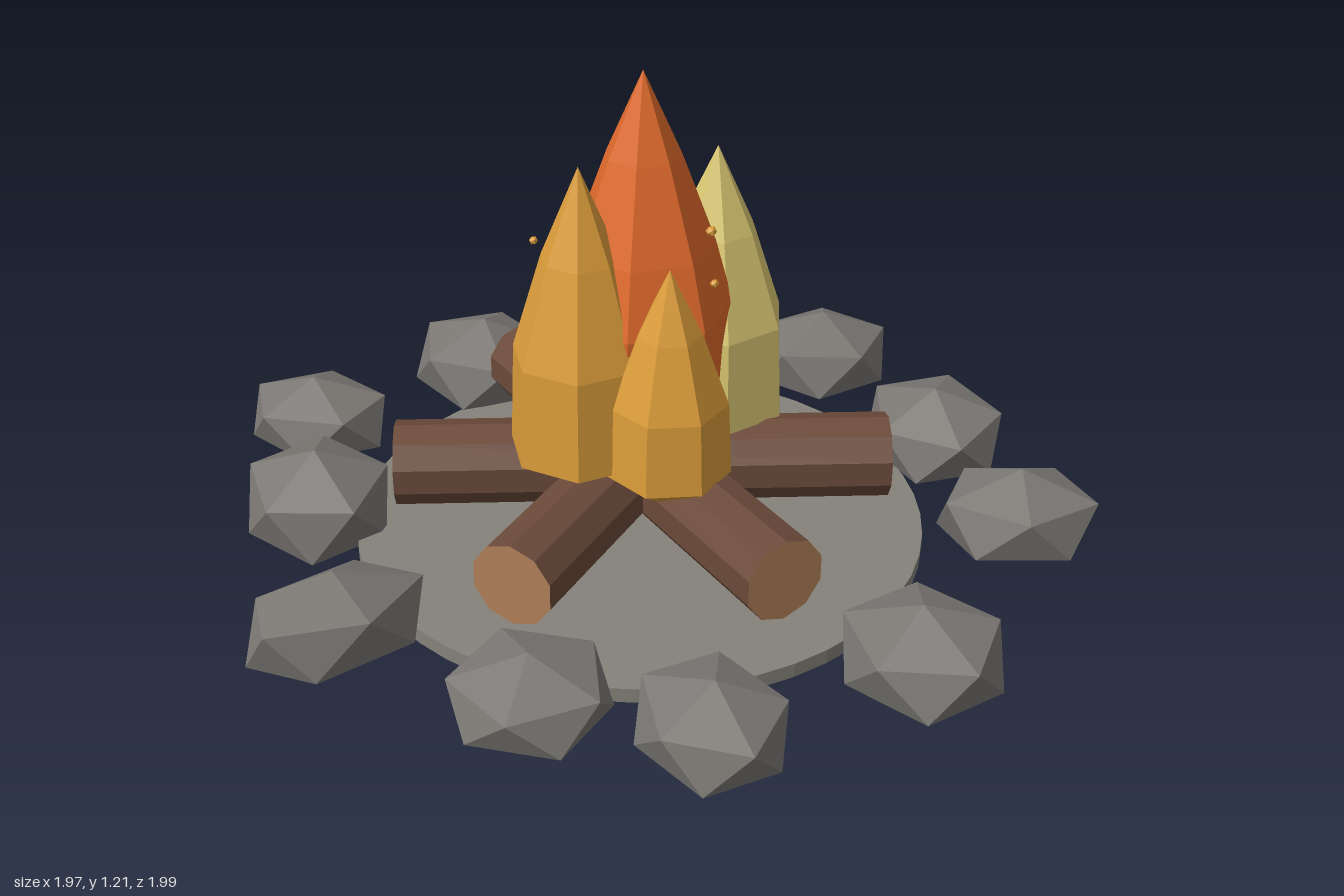
import * as THREE from 'three';

const mat = (name, color) => {
  const m = new THREE.MeshStandardMaterial({ color, flatShading: true });
  m.name = name;
  return m;
};

export function createModel() {
  const group = new THREE.Group();
  const stone = mat('stone grey', 0x7b7874);
  const ash = mat('ash grey', 0x85827a);
  const bark = mat('bark brown', 0x6b4a3a);
  const cutWood = mat('cut wood', 0xb08058);
  const orange = mat('flame orange', 0xdf6a2b);
  const amber = mat('flame amber', 0xdb9c3a);
  const yellow = mat('flame yellow', 0xd8c670);

  const add = (name, geometry, material, x, y, z) => {
    const mesh = new THREE.Mesh(geometry, material);
    mesh.name = name;
    mesh.position.set(x, y, z);
    group.add(mesh);
    return mesh;
  };

  // Ash bed
  add('ashBed', new THREE.CylinderGeometry(0.675, 0.675, 0.035, 48), ash, 0.015, 0.073, -0.02);

  // Three crossed logs, given by their two end points in x and z
  [
    [-0.08, -0.595, 0.12, 0.555],
    [-0.43, 0.355, 0.46, -0.4],
    [-0.525, -0.22, 0.57, 0.175],
  ].forEach(([x0, z0, x1, z1]) => {
    const dx = x1 - x0, dz = z1 - z0;
    const geo = new THREE.CylinderGeometry(0.1, 0.1, Math.hypot(dx, dz), 10);
    geo.rotateX(Math.PI / 2);
    const log = add('log', geo, [bark, cutWood, cutWood], (x0 + x1) / 2, 0.24, (z0 + z1) / 2);
    log.rotation.y = Math.atan2(dx, dz);
  });

  // Flames: faceted teardrops, profile as [radius share, height share]
  const slim = [[1, 0], [0.94, 0.35], [0.52, 0.69], [0, 1]];
  const full = [[0.93, 0], [1, 0.34], [0.8, 0.52], [0.42, 0.77], [0, 1]];
  const flame = (name, material, x, z, radius, base, tip, profile, turn) => {
    const pts = [new THREE.Vector2(0, base - 0.1)];
    profile.forEach(([r, h]) => pts.push(new THREE.Vector2(r * radius, base + h * (tip - base))));
    add(name, new THREE.LatheGeometry(pts, 7), material, x, 0, z).rotation.y = turn;
  };
  flame('mainFlame', orange, 0.02, -0.015, 0.205, 0.37, 1.215, full, 0.35);
  flame('backFlame', orange, 0.065, -0.215, 0.115, 0.34, 0.83, slim, 0.2);
  flame('rightFlame', amber, -0.148, 0.03, 0.168, 0.345, 1.035, slim, 0.5);
  flame('frontFlame', amber, 0.005, 0.178, 0.143, 0.335, 0.83, slim, 0.15);
  flame('leftFlame', yellow, 0.225, -0.07, 0.177, 0.335, 0.99, slim, Math.PI / 2);

  // Sparks
  [
    [-0.245, 0.87, 0.01, 0.01], [0.135, 0.865, 0.1, 0.013], [0.1, 0.79, 0.2, 0.01],
    [-0.055, 0.84, -0.23, 0.016], [0.015, 0.056, -0.02, 0.014],
  ].forEach(([x, y, z, r]) => add('spark', new THREE.IcosahedronGeometry(r, 0), amber, x, y, z));

  // Ring of flattened stones: x, z, half width, half depth, half height, turn
  [
    [-0.615, -0.655, 0.185, 0.145, 0.11, -0.9],
    [-0.135, -0.78, 0.175, 0.175, 0.125, 0.3],
    [0.395, -0.84, 0.155, 0.16, 0.11, 0.5],
    [0.73, -0.48, 0.185, 0.165, 0.12, 0.4],
    [0.812, -0.015, 0.163, 0.175, 0.12, 0],
    [0.8, 0.4, 0.185, 0.145, 0.12, -0.25],
    [0.335, 0.78, 0.165, 0.18, 0.12, 0.2],
    [-0.17, 0.825, 0.15, 0.165, 0.11, 0.1],
    [-0.475, 0.6, 0.165, 0.17, 0.1, 0.6],
    [-0.785, 0.215, 0.205, 0.13, 0.125, 0.25],
    [-0.705, -0.285, 0.168, 0.175, 0.14, 0.15],
  ].forEach(([x, z, w, d, h, turn], i) => {
    const geo = new THREE.IcosahedronGeometry(1, 0);
    geo.rotateZ(Math.atan2(2, 1 + Math.sqrt(5))); // stand on one corner
    geo.rotateY(i * 1.3);
    geo.scale(w / 0.88, h, d / 0.88);
    add('stone', geo, stone, x, i === 10 ? 0.14 : 0.15, z).rotation.set(0.06 * Math.sin(i * 2), turn, 0.06 * Math.cos(i * 3));
  });

  return group;
}
